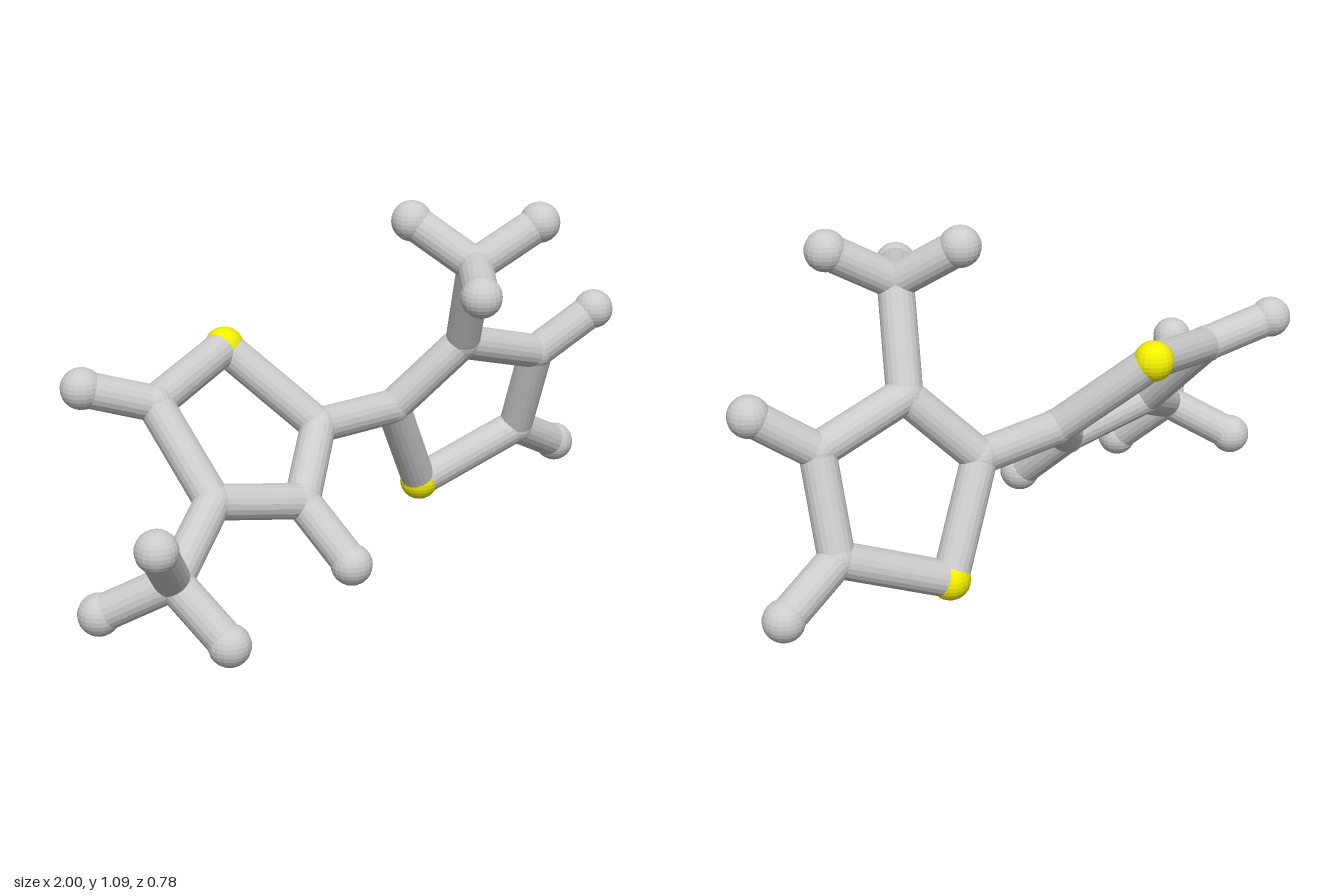
import * as THREE from 'three';

const grey = new THREE.MeshStandardMaterial({ color: 0xcccccc, flatShading: true });
const yellow = new THREE.MeshStandardMaterial({ color: 0xf2ee00, flatShading: true });

const BOND_RADIUS = 0.053;
const RADII = { carbon: 0.056, hydrogen: 0.061, sulfur: 0.06 };

// Each half: five-membered ring (sulfur first), methyl group and ring hydrogens.
// The number after each hydrogen position is the ring atom it hangs from.
const halves = [
  {
    name: 'rightHalf',
    ring: [[-0.24, 0.655, -0.33], [-0.58, 0.585, -0.21], [-0.55, 0.345, 0.02], [-0.26, 0.285, 0.06], [-0.06, 0.425, -0.11]],
    ringHydrogens: [[[-0.77, 0.65, -0.295], 1], [[-0.21, 0.126, 0.224], 3]],
    methylRoot: 2,
    methyl: [-0.795, 0.218, 0.163],
    methylHydrogens: [[-0.925, 0.38, 0.277], [-0.94, 0.11, 0.012], [-0.725, 0.063, 0.322]],
  },
  {
    name: 'leftHalf',
    ring: [[0.41, 0.11, -0.183], [0.735, 0.245, -0.085], [0.71, 0.53, 0.025], [0.41, 0.62, 0.01], [0.235, 0.418, -0.11]],
    ringHydrogens: [[[0.94, 0.136, -0.112], 1], [[0.878, 0.655, 0.105], 2]],
    methylRoot: 3,
    methyl: [0.328, 0.905, 0.147],
    methylHydrogens: [[0.22, 1.027, -0.013], [0.515, 1.02, 0.223], [0.182, 0.878, 0.332]],
  },
];

// Ball at an atom position
function addAtom(parent, kind, position) {
  const atom = new THREE.Mesh(
    new THREE.SphereGeometry(RADII[kind], 20, 14),
    kind === 'sulfur' ? yellow : grey
  );
  atom.name = kind + 'Atom';
  atom.position.set(...position);
  parent.add(atom);
}

// Rod running between two atom centres
function addBond(parent, from, to, name = 'bond') {
  const a = new THREE.Vector3(...from);
  const b = new THREE.Vector3(...to);
  const direction = b.clone().sub(a);
  const bond = new THREE.Mesh(
    new THREE.CylinderGeometry(BOND_RADIUS, BOND_RADIUS, direction.length(), 20),
    grey
  );
  bond.name = name;
  bond.position.copy(a).add(b).multiplyScalar(0.5);
  bond.quaternion.setFromUnitVectors(new THREE.Vector3(0, 1, 0), direction.normalize());
  parent.add(bond);
}

function buildHalf({ name, ring, ringHydrogens, methylRoot, methyl, methylHydrogens }) {
  const half = new THREE.Group();
  half.name = name;

  // Ring
  ring.forEach((p, i) => {
    addAtom(half, i === 0 ? 'sulfur' : 'carbon', p);
    addBond(half, p, ring[(i + 1) % ring.length], 'ringBond');
  });

  // Hydrogens on the ring
  for (const [p, root] of ringHydrogens) {
    addAtom(half, 'hydrogen', p);
    addBond(half, ring[root], p, 'hydrogenBond');
  }

  // Methyl group
  const branch = new THREE.Group();
  branch.name = 'methylGroup';
  addAtom(branch, 'carbon', methyl);
  addBond(branch, ring[methylRoot], methyl, 'methylBond');
  for (const p of methylHydrogens) {
    addAtom(branch, 'hydrogen', p);
    addBond(branch, methyl, p, 'hydrogenBond');
  }
  half.add(branch);
  return half;
}

export function createModel() {
  const model = new THREE.Group();
  model.name = 'molecule';
  halves.forEach((h) => model.add(buildHalf(h)));
  // Link between the two rings
  addBond(model, halves[0].ring[4], halves[1].ring[4], 'linkBond');
  return model;
}
